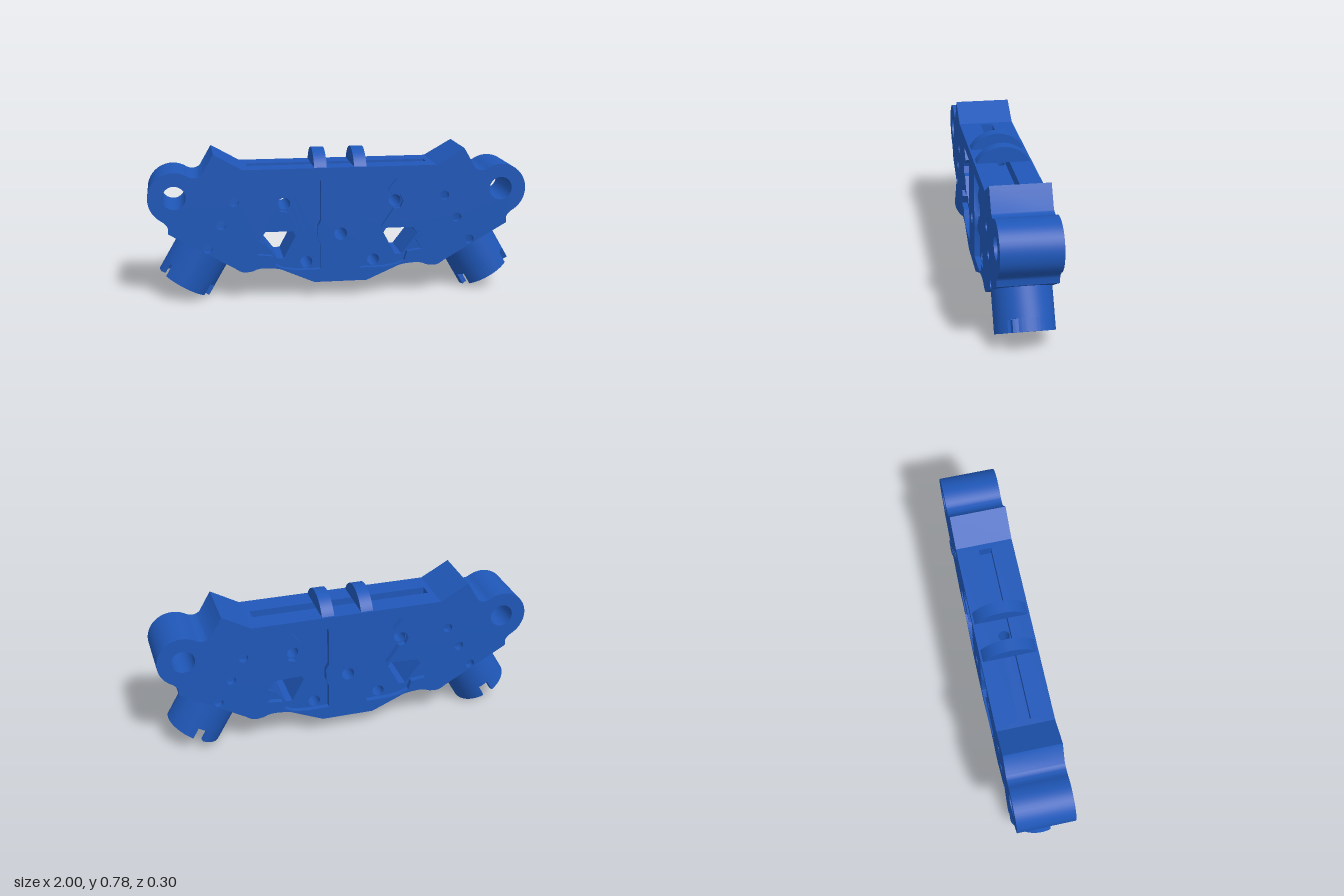
import * as THREE from 'three';
import { toCreasedNormals } from 'three/addons/utils/BufferGeometryUtils.js';

const material = new THREE.MeshStandardMaterial({ color: 0x1f57b8, side: THREE.DoubleSide });
const T = 0.15;       // half thickness of the plate
const FLOOR = 0.12;   // height of the pocket floors
const BORE = 0.123;   // socket bore radius
const V = (list) => list.map(([x, y]) => new THREE.Vector2(x, y));
const mirror = (pts) => pts.map((p) => new THREE.Vector2(-p.x, p.y)).reverse();

function add(parent, name, geometry) {
  const mesh = new THREE.Mesh(toCreasedNormals(geometry, 0.6), material);
  mesh.name = name;
  parent.add(mesh);
  return mesh;
}

function circle(x, y, r, n = 32) {
  return Array.from({ length: n }, (_, i) => {
    const a = (i / n) * Math.PI * 2;
    return new THREE.Vector2(x + r * Math.cos(a), y + r * Math.sin(a));
  });
}

// Flat sheet with holes, facing +z
function panel(pts, holes, z) {
  const shape = new THREE.Shape(pts);
  shape.holes = holes.map((h) => new THREE.Path(h));
  return new THREE.ShapeGeometry(shape).translate(0, 0, z);
}

function quads(list) {
  const pos = [];
  for (const [a, b, c, d] of list) pos.push(...a, ...b, ...c, ...a, ...c, ...d);
  const g = new THREE.BufferGeometry();
  g.setAttribute('position', new THREE.Float32BufferAttribute(pos, 3));
  return g;
}

// Closed wall along a contour; edges longer than maxEdge stay open
function wall(pts, z0, z1, outward, maxEdge = 10) {
  const p = THREE.ShapeUtils.isClockWise(pts) === outward ? [...pts].reverse() : pts;
  const list = [];
  p.forEach((a, i) => {
    const b = p[(i + 1) % p.length];
    if (a.distanceTo(b) > maxEdge) return;
    list.push([[a.x, a.y, z0], [b.x, b.y, z0], [b.x, b.y, z1], [a.x, a.y, z1]]);
  });
  return quads(list);
}

// Plate outline, right half then mirrored
function plateOutline() {
  const p = new THREE.Path();
  p.moveTo(0.14, 0.085);
  p.lineTo(0.29, 0.15);
  p.splineThru(V([[0.33, 0.165], [0.4, 0.172], [0.44, 0.168], [0.47, 0.157], [0.52, 0.155], [0.565, 0.181]]));
  p.lineTo(0.9, 0.374);
  p.lineTo(0.9, 0.405);
  p.quadraticCurveTo(0.905, 0.425, 0.9325, 0.443);
  p.absarc(0.865, 0.56, 0.135, -Math.PI / 3, 2.06, false);
  p.quadraticCurveTo(0.76, 0.65, 0.722, 0.678);
  p.lineTo(0.66, 0.785);
  p.lineTo(0.51, 0.7);
  const half = p.getPoints(10);
  return [...half, ...mirror(half)];
}

const pocket = V([[0.105, 0.155], [0.23, 0.155], [0.3, 0.165], [0.345, 0.185], [0.36, 0.235], [0.44, 0.245],
  [0.405, 0.3], [0.435, 0.325], [0.4, 0.37], [0.22, 0.375], [0.285, 0.47], [0.32, 0.475], [0.335, 0.51],
  [0.32, 0.545], [0.275, 0.55], [0.255, 0.575], [0.305, 0.635], [0.105, 0.635], [0.105, 0.42],
  [0.12, 0.39], [0.12, 0.33], [0.105, 0.29]]);
const windowHole = V([[0.235, 0.335], [0.25, 0.36], [0.395, 0.36], [0.42, 0.325], [0.335, 0.214], [0.3, 0.214]]);

const SOCKET = [0.7125, 0.266];       // where the socket axis meets the slanted edge
const PIN_DEPTHS = [0.027, 0.17, 0.31];
const both = (list) => [...list, ...list.map(mirror)];

function buildPlate(group) {
  const outline = plateOutline();
  const pockets = both([pocket]);
  const pocketHoles = both([windowHole, circle(0.295, 0.51, 0.032), circle(0.18, 0.19, 0.032)]);
  const through = [circle(0, 0.345, 0.034), ...both([circle(0.865, 0.563, 0.061)])];
  const pins = both(PIN_DEPTHS.map((d) => circle(SOCKET[0] - d * 0.5, SOCKET[1] + d * 0.866, 0.025, 20)));

  add(group, 'plateEdge', wall(outline, -T, T, true, 0.35));
  for (const turn of [0, Math.PI]) {
    const side = new THREE.Group();
    side.name = turn ? 'backFace' : 'frontFace';
    side.rotation.y = turn;
    add(side, 'face', panel(outline, [...pockets, ...through, ...pins], T));
    pockets.forEach((p, i) => {
      add(side, 'pocketFloor', panel(p, pocketHoles.slice(i * 3, i * 3 + 3), FLOOR));
      add(side, 'pocketWall', wall(p, FLOOR, T, false));
    });
    pins.forEach((p) => add(side, 'pinHole', wall(p, FLOOR - 0.005, T, false)));
    group.add(side);
  }
  through.forEach((p) => add(group, 'boltHole', wall(p, -T, T, false)));
  pocketHoles.forEach((p) => add(group, 'pocketOpening', wall(p, -FLOOR, FLOOR, false)));
}

function buildTop(group) {
  const top = new THREE.Group();
  top.name = 'topEdge';
  top.rotation.x = -Math.PI / 2;
  top.position.y = 0.7;
  const slot = V([[-0.48, -0.033], [0.48, -0.033], [0.48, 0.033], [-0.48, 0.033]]);
  const drill = circle(0, 0, 0.029);
  add(top, 'topSurface', panel(V([[-0.51, -T], [0.51, -T], [0.51, T], [-0.51, T]]), [slot], 0));
  add(top, 'channelWall', wall(slot, -0.06, 0, false));
  add(top, 'channelFloor', panel(slot, [drill], -0.06));
  add(top, 'verticalHole', wall(drill, -0.32, -0.06, false));
  group.add(top);

  // Two arched ribs across the channel
  const arch = new THREE.Shape();
  const a = Math.asin(0.14 / 0.158);
  arch.absarc(0, -0.073, 0.158, Math.PI / 2 - a, Math.PI / 2 + a, false);
  for (const x of [-0.105, 0.105]) {
    const g = new THREE.ExtrudeGeometry(arch, { depth: 0.066, bevelEnabled: false, curveSegments: 24 });
    add(group, 'archRib', g.translate(0, 0, -0.033).rotateY(Math.PI / 2).translate(x, 0.7, 0));
  }
}

// Slotted tube on the slanted edge, with its bore running into the plate
function buildSocket(group, s) {
  const socket = new THREE.Group();
  socket.name = s > 0 ? 'leftSocket' : 'rightSocket';
  const c = Math.cos(Math.PI / 6);
  const basis = new THREE.Matrix4().makeBasis(
    new THREE.Vector3(c, 0.5 * s, 0), new THREE.Vector3(0, 0, 1), new THREE.Vector3(0.5 * s, -c, 0));
  socket.quaternion.setFromRotationMatrix(basis);
  socket.position.set(s * SOCKET[0], SOCKET[1], 0);

  const edge = V([[-0.17 * s, -T], [0.216 * s, -T], [0.216 * s, T], [-0.17 * s, T]]);
  add(socket, 'slantedEdge', panel(edge, [circle(0, 0, BORE, 48)], 0));

  const ring = new THREE.Shape(circle(0, 0, 0.15, 64));
  ring.holes.push(new THREE.Path(circle(0, 0, BORE, 64)));
  add(socket, 'tube', new THREE.ExtrudeGeometry(ring, { depth: 0.15, bevelEnabled: false }));
  for (let k = 0; k < 3; k++) {
    const a0 = Math.PI / 6 + (k * 2 * Math.PI) / 3 + 0.19;
    const a1 = a0 + (2 * Math.PI) / 3 - 0.38;
    const tooth = new THREE.Shape();
    tooth.absarc(0, 0, 0.15, a0, a1, false);
    tooth.absarc(0, 0, BORE, a1, a0, true);
    const g = new THREE.ExtrudeGeometry(tooth, { depth: 0.065, bevelEnabled: false, curveSegments: 18 });
    add(socket, 'tubeSegment', g.translate(0, 0, 0.15));
  }

  // Bore wall, left open where the pin holes cross it
  const depth = 0.42, rows = 42, cols = 64, cells = [];
  const at = (i, j) => {
    const a = (i / cols) * Math.PI * 2;
    return [BORE * Math.cos(a), BORE * Math.sin(a), (-depth * j) / rows];
  };
  for (let i = 0; i < cols; i++) for (let j = 0; j < rows; j++) {
    const [u, , w] = at(i + 0.5, j + 0.5);
    if (PIN_DEPTHS.some((d) => Math.hypot(u, w + d) < 0.029)) continue;
    cells.push([at(i, j), at(i + 1, j), at(i + 1, j + 1), at(i, j + 1)]);
  }
  add(socket, 'bore', quads(cells));
  add(socket, 'boreEnd', panel(circle(0, 0, BORE, 64), [], -depth));
  group.add(socket);
}

export function createModel() {
  const group = new THREE.Group();
  group.name = 'clampPlate';
  buildPlate(group);
  buildTop(group);
  for (const s of [1, -1]) buildSocket(group, s);
  return group;
}
